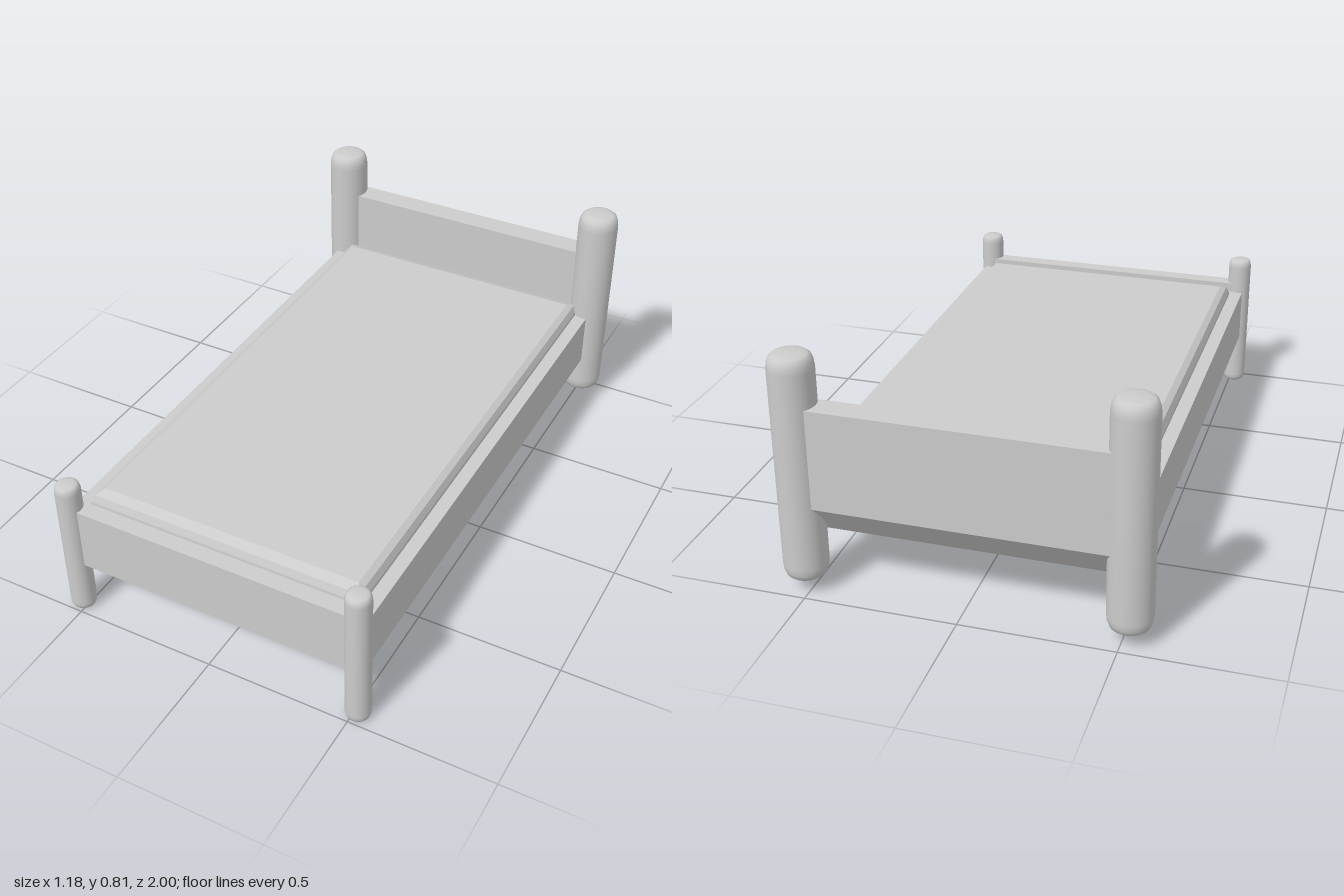
import * as THREE from 'three';

const material = new THREE.MeshStandardMaterial({ color: 0xcccccc });

function add(group, name, geometry, x = 0, y = 0, z = 0) {
  const mesh = new THREE.Mesh(geometry, material);
  mesh.name = name;
  mesh.position.set(x, y, z);
  group.add(mesh);
  return mesh;
}

// box given by its lower and upper corners
function addBox(group, name, [x0, y0, z0], [x1, y1, z1]) {
  add(group, name, new THREE.BoxGeometry(x1 - x0, y1 - y0, z1 - z0),
    (x0 + x1) / 2, (y0 + y1) / 2, (z0 + z1) / 2);
}

// round post with softened, slightly domed ends
function postGeometry(r, h) {
  const end = [[0, 0], [0.5, 0.03], [0.74, 0.07], [0.88, 0.18], [0.96, 0.4], [1, 0.7]];
  const points = end.map(([a, b]) => new THREE.Vector2(a * r, b * r));
  for (const [a, b] of [...end].reverse()) points.push(new THREE.Vector2(a * r, h - b * r));
  return new THREE.LatheGeometry(points, 32);
}

// mattress: rectangular rings [halfWidth, halfLength, y] from bottom to top, then a flat top
function mattressGeometry(rings) {
  const corners = rings.map(([w, l, y]) => [[-w, y, l], [w, y, l], [w, y, -l], [-w, y, -l]]);
  const positions = [];
  const quad = (a, b, c, d) => positions.push(...a, ...b, ...c, ...a, ...c, ...d);
  for (let i = 0; i < corners.length - 1; i++) {
    for (let k = 0; k < 4; k++) {
      const n = (k + 1) % 4;
      quad(corners[i][k], corners[i][n], corners[i + 1][n], corners[i + 1][k]);
    }
  }
  quad(...corners[corners.length - 1]);
  const geometry = new THREE.BufferGeometry();
  geometry.setAttribute('position', new THREE.Float32BufferAttribute(positions, 3));
  geometry.computeVertexNormals();
  return geometry;
}

export function createModel() {
  const bed = new THREE.Group();
  bed.name = 'bed';

  // solid base with the side rails, and the low board at the foot
  addBox(bed, 'bedFrame', [-0.535, 0.2, -0.89], [0.535, 0.39, 0.92]);
  addBox(bed, 'footboard', [-0.515, 0.2, 0.92], [0.515, 0.425, 0.975]);

  // headboard: side profile (z, y) with a slanted underside, extruded across the width
  const profile = new THREE.Shape([
    [-0.975, 0.31], [-0.89, 0.2], [-0.89, 0.645], [-0.975, 0.645],
  ].map(([z, y]) => new THREE.Vector2(-z, y)));
  const headboard = new THREE.ExtrudeGeometry(profile, { depth: 1.04, bevelEnabled: false });
  headboard.translate(0, 0, -0.52).rotateY(Math.PI / 2);
  add(bed, 'headboard', headboard);

  // mattress with sloped edges
  add(bed, 'mattress', mattressGeometry([
    [0.49, 0.89, 0.38], [0.488, 0.888, 0.4], [0.478, 0.878, 0.425], [0.458, 0.845, 0.437],
  ]));

  // corner posts, thick at the head and thin at the foot
  const headPost = postGeometry(0.0725, 0.765);
  const footPost = postGeometry(0.0425, 0.52);
  for (const [side, s] of [['left', 1], ['right', -1]]) {
    add(bed, side + 'HeadPost', headPost, s * 0.52, 0.045, -0.9275);
    add(bed, side + 'FootPost', footPost, s * 0.516, 0, 0.9575);
  }
  return bed;
}
